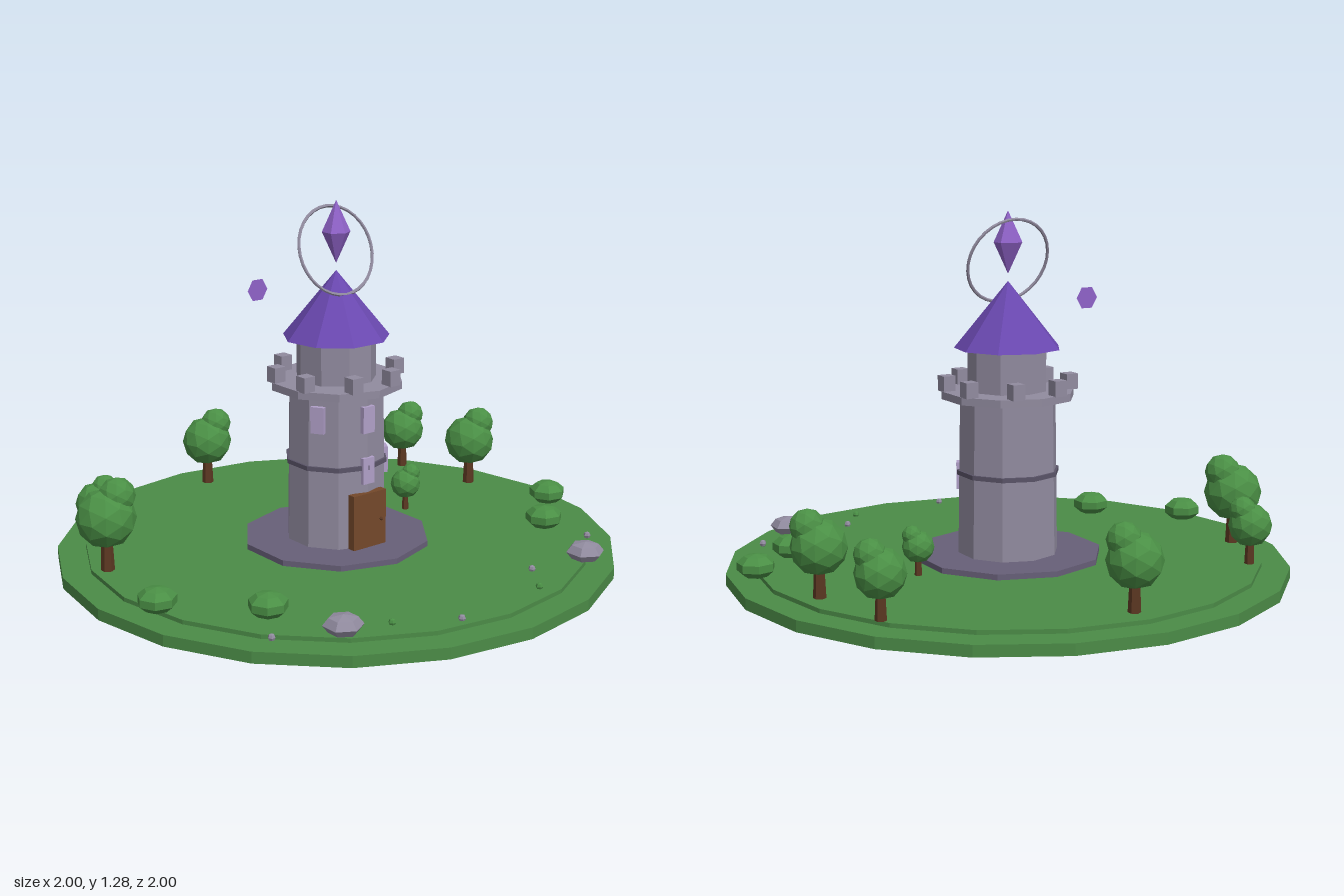
import * as THREE from 'three';

const mat = (name, color, side = THREE.FrontSide) => {
  const m = new THREE.MeshStandardMaterial({ color, flatShading: true, side });
  m.name = name;
  return m;
};

export function createModel() {
  const root = new THREE.Group();
  root.name = 'towerIsland';
  const grass = mat('grass', 0x4b8b47);
  const leaf = mat('leaf', 0x4a8f45);
  const paving = mat('paving', 0x675f78);
  const stone = mat('stone', 0x918b9f);
  const darkStone = mat('darkStone', 0x5a5468);
  const roofPurple = mat('roofPurple', 0x6a48b0);
  const crystalPurple = mat('crystalPurple', 0x8f62c8, THREE.DoubleSide);
  const windowLilac = mat('windowLilac', 0xb09fc8);
  const doorWood = mat('doorWood', 0x74482a);
  const bark = mat('bark', 0x5c3822);

  const add = (name, geo, material, x = 0, y = 0, z = 0, parent = root) => {
    const m = new THREE.Mesh(geo, material);
    m.name = name;
    m.position.set(x, y, z);
    parent.add(m);
    return m;
  };
  // Cylinder standing between two heights
  const drum = (name, rTop, rBottom, y0, y1, sides, material) =>
    add(name, new THREE.CylinderGeometry(rTop, rBottom, y1 - y0, sides), material, 0, (y0 + y1) / 2, 0);

  // Ground
  drum('groundBase', 1, 1, 0, 0.04, 20, grass);
  drum('groundTop', 0.9, 0.9, 0.04, 0.055, 20, grass);
  drum('plaza', 0.337, 0.337, 0.055, 0.075, 10, paving);

  // Tower
  drum('towerBody', 0.172, 0.18, 0.075, 0.63, 10, stone);
  drum('towerBand', 0.184, 0.184, 0.358, 0.374, 10, darkStone);
  drum('balcony', 0.238, 0.238, 0.63, 0.657, 10, stone);
  drum('turret', 0.142, 0.142, 0.657, 0.81, 9, stone).rotation.y = Math.PI;
  drum('roof', 0, 0.19, 0.805, 1.04, 9, roofPurple).rotation.y = Math.PI;

  // Battlements
  for (let i = 0; i < 8; i++) {
    const a = (i + 0.5) * Math.PI / 4;
    add('merlon', new THREE.BoxGeometry(0.046, 0.055, 0.046), stone,
      Math.sin(a) * 0.217, 0.683, Math.cos(a) * 0.217);
  }

  // Windows: [angle, height]
  for (const [a, y] of [[0, 0.355], [0, 0.54], [Math.PI / 3, 0.35], [-Math.PI / 3, 0.545]]) {
    add('window', new THREE.BoxGeometry(0.05, 0.095, 0.018), windowLilac,
      Math.sin(a) * 0.174, y, Math.cos(a) * 0.174).rotation.y = a;
  }

  // Door
  add('door', new THREE.BoxGeometry(0.145, 0.2, 0.03), doorWood, 0, 0.175, 0.175);
  add('doorKnob', new THREE.SphereGeometry(0.007, 6, 4), bark, 0.05, 0.17, 0.192);

  // Crystal, halo and floating shard
  add('crystalUpper', new THREE.ConeGeometry(0.05, 0.11, 6, 1, true), crystalPurple, 0, 1.23, 0);
  add('crystalLower', new THREE.ConeGeometry(0.05, 0.11, 6, 1, true), crystalPurple, 0, 1.12, 0).rotation.z = Math.PI;
  add('halo', new THREE.TorusGeometry(0.157, 0.006, 6, 32), stone, 0, 1.11, 0).rotation.x = -0.35;
  add('floatingShard', new THREE.CircleGeometry(0.042, 6), crystalPurple, -0.243, 0.98, -0.13);

  // Trees: [x, z, crown radius]
  const trees = [[0, -0.81, 0.095], [-0.68, -0.52, 0.077], [0.74, -0.49, 0.085],
    [-0.81, -0.245, 0.105], [0.805, -0.165, 0.096], [0.4, -0.08, 0.056]];
  for (const [x, z, r] of trees) {
    const tree = new THREE.Group();
    tree.name = 'tree';
    tree.position.set(x, 0.055, z);
    root.add(tree);
    add('trunk', new THREE.CylinderGeometry(r * 0.17, r * 0.23, r * 1.3, 6), bark, 0, r * 0.65, 0, tree);
    add('crown', new THREE.IcosahedronGeometry(r, 1), leaf, 0, r * 1.8, 0, tree);
    add('crownLobe', new THREE.IcosahedronGeometry(r * 0.62, 1), leaf, r * 0.35, r * 2.52, r * 0.14, tree);
  }

  // Bushes and rocks
  for (const [x, z] of [[-0.87, 0.155], [0.885, 0.19], [-0.615, 0.415], [0.675, 0.38]]) {
    add('bush', new THREE.SphereGeometry(0.07, 7, 5), leaf, x, 0.09, z).scale.y = 0.62;
  }
  for (const [x, z] of [[-0.515, 0.675], [0.55, 0.705]]) {
    const rock = add('rock', new THREE.SphereGeometry(0.068, 6, 4), stone, x, 0.08, z);
    rock.scale.y = 0.52;
    rock.rotation.y = Math.PI / 2;
  }

  // Pebbles and tufts
  for (const [x, z] of [[-0.725, 0.58], [0.71, 0.565], [0.32, 0.675], [-0.16, 0.84]]) {
    add('pebble', new THREE.SphereGeometry(0.013, 6, 4), stone, x, 0.062, z);
  }
  for (const [x, z] of [[-0.355, 0.725], [0.225, 0.805]]) {
    add('tuft', new THREE.SphereGeometry(0.013, 6, 4), leaf, x, 0.062, z);
  }
  return root;
}
